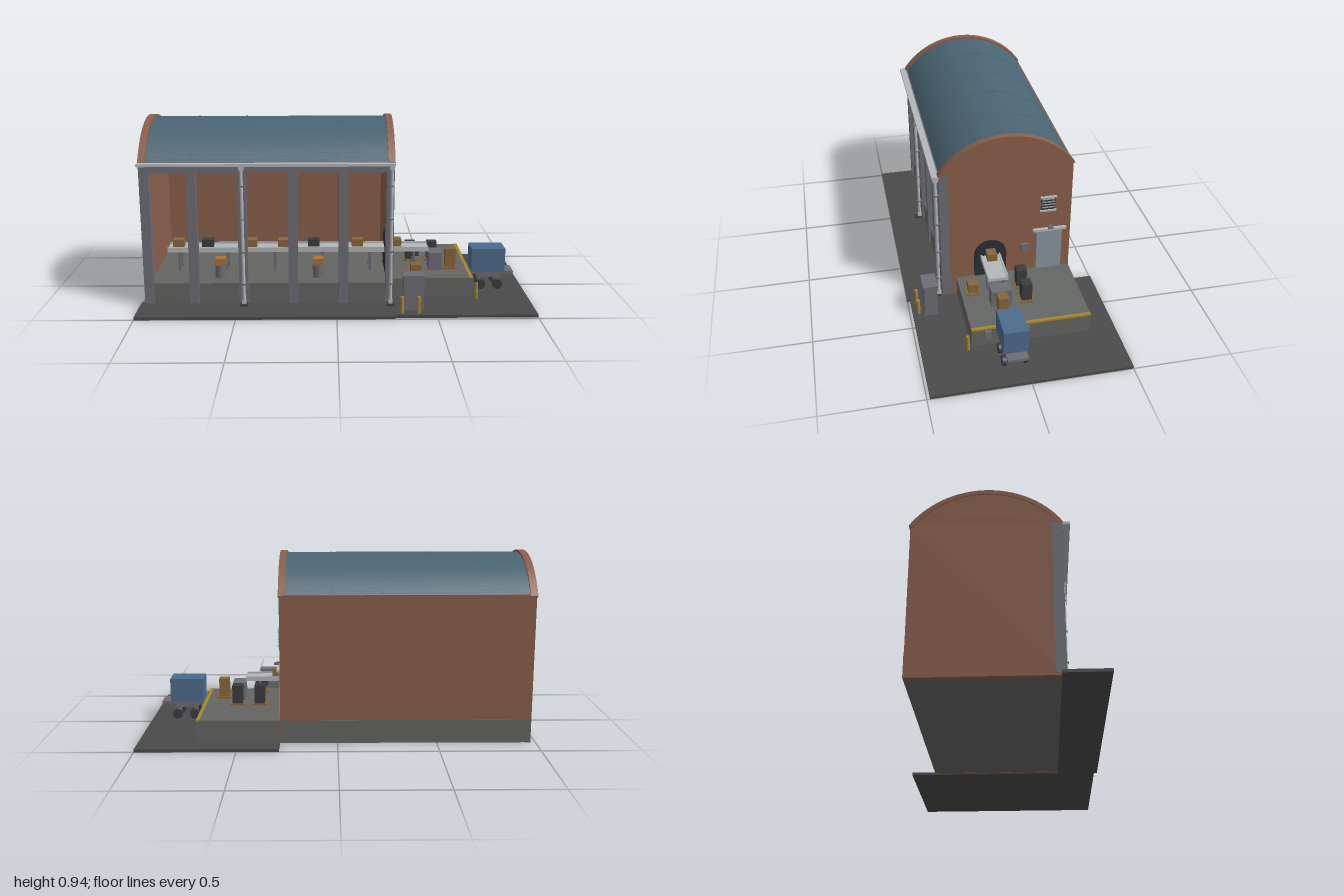
import * as THREE from 'three';

const mats = {};
const mat = (c) => (mats[c] ??= new THREE.MeshStandardMaterial({ color: c }));
const BRICK = 0x8a5f4b, ROOF = 0x4a6472, CONCRETE = 0x646663, STEEL = 0x6c6d75, ASPHALT = 0x4a4a4b,
  METAL = 0xb4b7ba, CRATE = 0x86663a, ORANGE = 0xa8713a, YELLOW = 0xa8872a, BLUE = 0x4c6b8c,
  DARK = 0x2b2e38, BLACK = 0x3a3c3e, DOOR = 0x8795a0;

// roof arc shared by the vault and both gables
const ARC_Y = 0.514, ARC_Z = -0.03, R = 0.421;

export function createModel() {
  const root = new THREE.Group();

  const add = (name, geo, color, parent = root) => {
    const m = new THREE.Mesh(geo, mat(color));
    m.name = name;
    parent.add(m);
    return m;
  };
  // box given by its extents on each axis
  const box = (name, color, [x0, x1], [y0, y1], [z0, z1], parent) => {
    const m = add(name, new THREE.BoxGeometry(x1 - x0, y1 - y0, z1 - z0), color, parent);
    m.position.set((x0 + x1) / 2, (y0 + y1) / 2, (z0 + z1) / 2);
    return m;
  };
  const post = (name, color, x, z, r, y0, y1, parent) => {
    const m = add(name, new THREE.CylinderGeometry(r, r, y1 - y0, 16), color, parent);
    m.position.set(x, (y0 + y1) / 2, z);
    return m;
  };
  // shape drawn in (-z, y), extruded along x from x0 to x1
  const slice = (name, color, shape, x0, x1) => {
    const g = new THREE.ExtrudeGeometry(shape, { depth: x1 - x0, bevelEnabled: false, curveSegments: 32 });
    g.rotateY(Math.PI / 2).translate(x0, 0, 0);
    return add(name, g, color);
  };
  // curved band between two radii, ending at the eaves
  const band = (rIn, rOut, eaveY) => {
    const a = Math.acos((eaveY - ARC_Y) / rOut);
    const s = new THREE.Shape();
    s.absarc(-ARC_Z, ARC_Y, rOut, Math.PI / 2 - a, Math.PI / 2 + a, false);
    s.absarc(-ARC_Z, ARC_Y, rIn, Math.PI / 2 + a, Math.PI / 2 - a, true);
    return s;
  };
  const group = (name) => {
    const g = new THREE.Group();
    g.name = name;
    root.add(g);
    return g;
  };

  // ground
  box('frontPavement', ASPHALT, [-1, 0.29], [0, 0.015], [0.29, 0.5]);
  box('yardPavement', ASPHALT, [0.29, 1], [0, 0.015], [-0.5, 0.485]);

  // building shell
  box('floorBase', CONCRETE, [-0.974, 0.285], [0.001, 0.12], [-0.372, 0.3]);
  box('backWall', BRICK, [-0.96, 0.275], [0.12, 0.755], [-0.37, -0.345]);
  const gable = new THREE.Shape();
  const ga = Math.acos((0.755 - ARC_Y) / 0.415);
  gable.moveTo(-0.31, 0).lineTo(0.37, 0).lineTo(0.37, 0.755);
  gable.absarc(-ARC_Z, ARC_Y, 0.415, Math.PI / 2 - ga, Math.PI / 2 + ga, false);
  gable.lineTo(-0.31, 0.755);
  for (const [x0, x1] of [[-0.975, -0.947], [0.262, 0.288]]) {
    slice('gableWall', BRICK, gable, x0, x1);
    slice('gableCoping', BRICK, band(0.4, R, 0.752), x0 - 0.004, x1 + 0.004);
  }
  slice('vaultRoof', ROOF, band(0.4, 0.411, 0.745), -0.95, 0.264);
  for (const x of [-0.72, -0.47, -0.22, 0.03])
    slice('roofSeam', ROOF, band(0.41, 0.4125, 0.75), x - 0.002, x + 0.002);

  // open front: columns, lintel, gutter and downpipes
  for (const [x0, x1] of [[-0.978, -0.93], [-0.747, -0.7], [-0.495, -0.45], [-0.243, -0.195], [0.012, 0.06], [0.25, 0.289]])
    box('frontColumn', STEEL, [x0, x1], [0.01, 0.702], [0.265, 0.312]);
  box('lintel', STEEL, [-0.978, 0.289], [0.7, 0.75], [0.265, 0.313]);
  box('gutter', METAL, [-0.982, 0.292], [0.736, 0.75], [0.312, 0.346]);
  for (const x of [-0.47, 0.276]) {
    const g = group('downpipe');
    post('pipe', METAL, x, 0.328, 0.008, 0.03, 0.725, g);
    box('hopper', METAL, [x - 0.012, x + 0.012], [0.717, 0.736], [0.315, 0.341], g);
    for (const y of [0.125, 0.295, 0.465, 0.635])
      box('clamp', STEEL, [x - 0.011, x + 0.011], [y - 0.003, y + 0.003], [0.31, 0.339], g);
    box('pipeShoe', METAL, [x - 0.01, x + 0.01], [0.022, 0.037], [0.317, 0.339], g);
    box('drain', BLACK, [x - 0.02, x + 0.02], [0.014, 0.022], [0.315, 0.357], g);
  }

  // conveyor through the arch
  const conveyor = group('conveyor');
  box('bed', METAL, [-0.89, 0.49], [0.226, 0.243], [0.004, 0.106], conveyor);
  for (const z of [0.007, 0.103])
    box('sideRail', METAL, [-0.89, 0.49], [0.224, 0.251], [z - 0.004, z + 0.004], conveyor);
  for (const x of [-0.83, -0.578, -0.325, -0.073, 0.18, 0.415])
    for (const z of [0.015, 0.095])
      box('conveyorLeg', STEEL, [x - 0.006, x + 0.006], [0.12, 0.226], [z - 0.006, z + 0.006], conveyor);
  box('driveMotor', BLACK, [0.375, 0.44], [0.195, 0.226], [0.02, 0.09], conveyor);
  for (const [x, c] of [[-0.835, CRATE], [-0.68, BLACK], [-0.45, CRATE], [-0.278, CRATE], [-0.117, BLACK], [0.115, CRATE], [0.318, CRATE]])
    box('parcel', c, [x - 0.03, x + 0.03], [0.243, 0.284], [0.03, 0.08], conveyor);

  // work stands in front of the conveyor
  for (const x of [-0.6, -0.093]) {
    post('standDrum', STEEL, x, 0.197, 0.029, 0.12, 0.187);
    box('standCrate', ORANGE, [x - 0.027, x + 0.027], [0.187, 0.224], [0.17, 0.224]);
  }

  // arched opening
  const arch = new THREE.Shape();
  arch.moveTo(-0.14, 0.12).lineTo(0.03, 0.12).lineTo(0.03, 0.25);
  arch.absarc(-0.055, 0.25, 0.085, 0, Math.PI, false);
  slice('archOpening', DARK, arch, 0.258, 0.293);

  // side door, canopy, lamp and control box
  box('sideDoor', DOOR, [0.28, 0.295], [0.12, 0.362], [-0.325, -0.19]);
  box('doorCanopy', METAL, [0.28, 0.305], [0.361, 0.374], [-0.345, -0.17]);
  box('lampArm', STEEL, [0.28, 0.31], [0.39, 0.395], [-0.262, -0.254]);
  box('lampShade', STEEL, [0.297, 0.32], [0.382, 0.391], [-0.271, -0.245]);
  box('controlBox', STEEL, [0.28, 0.303], [0.244, 0.291], [-0.145, -0.108]);

  // louvred vent
  box('ventRecess', DARK, [0.28, 0.291], [0.485, 0.56], [-0.283, -0.211]);
  for (const y of [0.483, 0.563])
    box('ventSill', METAL, [0.28, 0.3], [y - 0.004, y + 0.004], [-0.29, -0.205]);
  for (let i = 0; i < 4; i++) {
    const s = box('ventSlat', STEEL, [0.289, 0.297], [0.499 + i * 0.016, 0.503 + i * 0.016], [-0.28, -0.214]);
    s.rotation.z = -0.5;
  }

  // loading dock
  box('dock', CONCRETE, [0.285, 0.71], [0.012, 0.12], [-0.368, 0.235]);
  box('dockEdge', YELLOW, [0.695, 0.712], [0.112, 0.122], [-0.368, 0.235]);
  for (const z of [0.154, -0.04])
    box('dockBumper', STEEL, [0.71, 0.724], [0.054, 0.105], [z - 0.016, z + 0.016]);

  // pallets with stacked crates
  const pallet = (x, z, color, levels, h) => {
    const g = group('palletStack');
    for (const dz of [-0.025, 0, 0.025])
      box('palletRunner', CRATE, [x - 0.037, x + 0.037], [0.12, 0.126], [z + dz - 0.005, z + dz + 0.005], g);
    box('palletDeck', CRATE, [x - 0.037, x + 0.037], [0.126, 0.131], [z - 0.036, z + 0.036], g);
    for (let i = 0; i < levels; i++)
      box('crate', color, [x - 0.027, x + 0.027], [0.131 + i * h, 0.13 + (i + 1) * h], [z - 0.026, z + 0.026], g);
  };
  pallet(0.418, 0.173, CRATE, 1, 0.05);
  pallet(0.41, -0.08, BLACK, 2, 0.049);
  pallet(0.527, -0.08, BLACK, 2, 0.049);
  pallet(0.612, 0.058, CRATE, 2, 0.05);
  box('dockMachine', STEEL, [0.494, 0.562], [0.12, 0.214], [0.0, 0.104]);

  // yard cabinet and bollards
  box('cabinet', STEEL, [0.334, 0.436], [0.015, 0.193], [0.358, 0.426]);
  box('cabinetCap', STEEL, [0.33, 0.44], [0.193, 0.199], [0.354, 0.43]);
  for (const [x, z] of [[0.325, 0.455], [0.408, 0.455], [0.726, 0.256]])
    post('bollard', YELLOW, x, z, 0.009, 0.012, 0.1);

  // delivery cart
  const cart = group('cart');
  box('cartBody', BLUE, [0.72, 0.898], [0.115, 0.239], [-0.005, 0.115], cart);
  box('cartBed', STEEL, [0.718, 0.945], [0.1, 0.114], [0.004, 0.106], cart);
  box('cartChassis', STEEL, [0.755, 0.88], [0.075, 0.1], [0.02, 0.09], cart);
  for (const x of [0.772, 0.863]) {
    box('axleMount', STEEL, [x - 0.008, x + 0.008], [0.04, 0.1], [0.02, 0.09], cart);
    for (const z of [0.002, 0.108]) {
      const w = add('wheel', new THREE.CylinderGeometry(0.026, 0.026, 0.018, 24), BLACK, cart);
      w.rotation.x = Math.PI / 2;
      w.position.set(x, 0.042, z);
    }
    const axle = add('axle', new THREE.CylinderGeometry(0.006, 0.006, 0.11, 12), STEEL, cart);
    axle.rotation.x = Math.PI / 2;
    axle.position.set(x, 0.042, 0.055);
  }
  return root;
}
